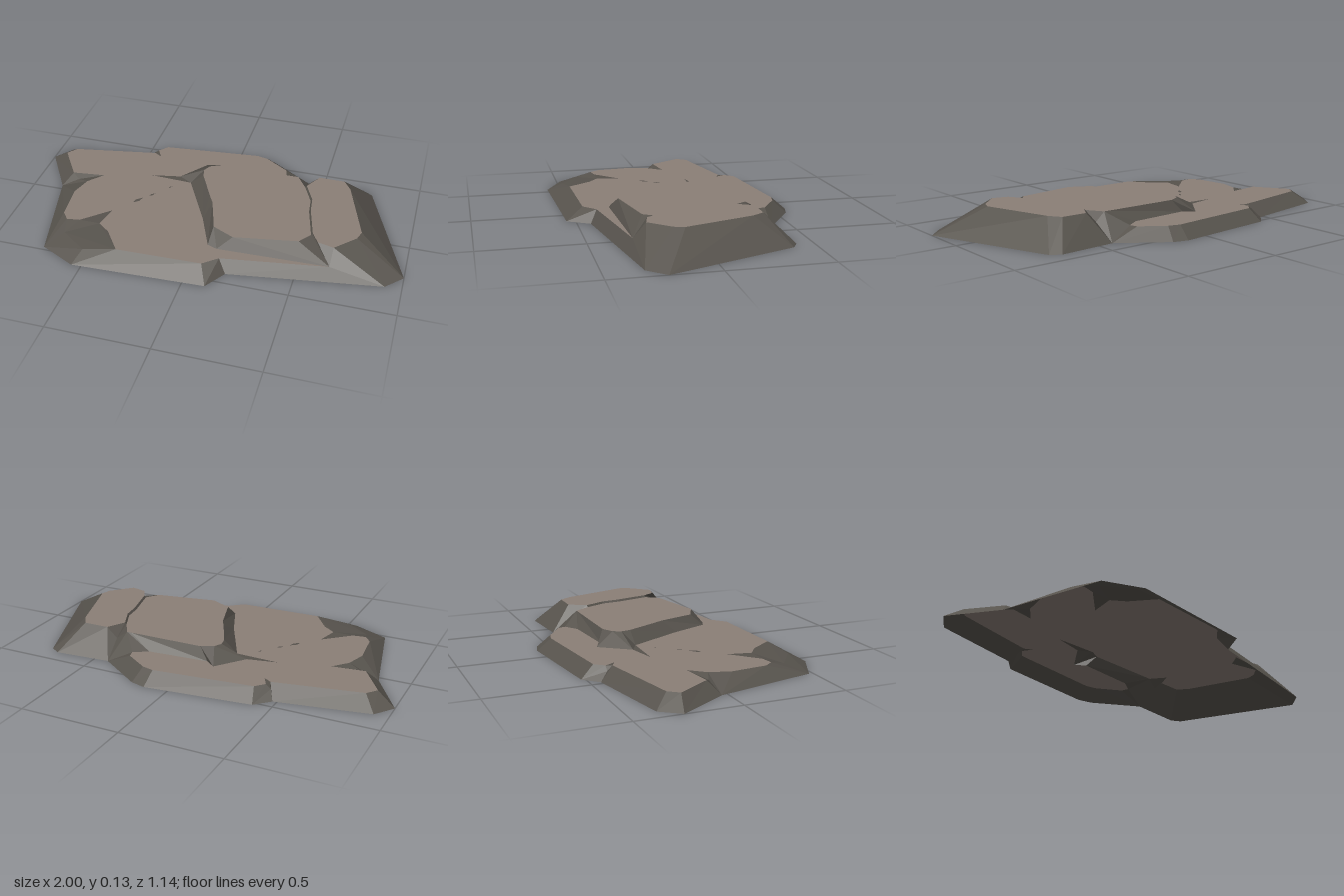
import * as THREE from 'three';

const LOW = 0.06, MID = 0.12, HIGH = 0.13;
const at = (y, pts) => pts.map(([x, z]) => [x, y, z]);

// Collect upward-facing triangles into a flat-faced geometry
function toGeometry(tris) {
  const pos = [];
  for (const [a, b, c] of tris) {
    const up = (b[2] - a[2]) * (c[0] - a[0]) - (b[0] - a[0]) * (c[2] - a[2]);
    pos.push(...a, ...(up >= 0 ? [...b, ...c] : [...c, ...b]));
  }
  const g = new THREE.BufferGeometry();
  g.setAttribute('position', new THREE.Float32BufferAttribute(pos, 3));
  g.computeVertexNormals();
  return g;
}

// Fill a polygon seen from above
function fill(pts) {
  const flat = pts.map(p => new THREE.Vector2(p[0], -p[2]));
  return THREE.ShapeUtils.triangulateShape(flat, []).map(f => f.map(i => pts[i]));
}

// Join rows of [foot, edge points...] into a sloping wall
function wall(rows, closed) {
  const tris = [];
  rows.forEach(([foot, ...edge], i) => {
    for (let k = 0; k + 1 < edge.length; k++) tris.push([foot, edge[k], edge[k + 1]]);
    if (i === rows.length - 1 && !closed) return;
    const [foot2, first] = rows[(i + 1) % rows.length];
    const last = edge[edge.length - 1];
    tris.push([foot, last, foot2], [last, first, foot2]);
  });
  return tris.filter(([a, b, c]) => a !== b && b !== c && a !== c);
}

export function createModel() {
  const group = new THREE.Group();
  const top = new THREE.MeshStandardMaterial({ color: 0x8b7f77, side: THREE.DoubleSide });
  top.name = 'worn stone';
  const side = new THREE.MeshStandardMaterial({ color: 0x57534d, side: THREE.DoubleSide });
  side.name = 'dark stone';
  for (const m of [top, side]) m.flatShading = true;
  const add = (name, tris, material) => {
    const mesh = new THREE.Mesh(toGeometry(tris), material);
    mesh.name = name;
    group.add(mesh);
  };
  const g = (x, z) => [x, 0, z], l = (x, z) => [x, LOW, z];
  const m = (x, z) => [x, MID, z], h = (x, z) => [x, HIGH, z];

  // Dips where the edges are broken
  const dipBack = [-0.455, 0.04, -0.41], dipLeft = [-0.76, 0.045, -0.05];
  const dipSeam = [0.435, 0.08, -0.29];
  const dipFront = [[-0.52, 0.04, 0.49], [-0.655, 0.04, 0.39]];

  // Outer wall, going round from the far left corner
  const rim = [
    [g(-1, -0.275), l(-0.91, -0.25)],
    [g(-0.93, -0.37), l(-0.87, -0.30)],
    [g(-0.48, -0.45), l(-0.44, -0.38), dipBack],
    [g(-0.41, -0.52), l(-0.43, -0.41), l(-0.39, -0.455)],
    [g(0.12, -0.575), l(0.11, -0.505)],
    [g(0.195, -0.555), l(0.17, -0.49)],
    [g(0.425, -0.40), l(0.29, -0.41), l(0.30, -0.37), m(0.38, -0.28), dipSeam, h(0.49, -0.29)],
    [g(0.71, -0.42), h(0.62, -0.29)],
    [g(0.76, -0.39), h(0.66, -0.23)],
    [g(1, 0.235), h(0.77, 0.11), h(0.755, 0.16)],
    [g(0.92, 0.32), h(0.66, 0.26), l(0.655, 0.32)],
    [g(0.18, 0.435), l(0.14, 0.40)],
    [g(0.11, 0.545), l(0.07, 0.46)],
    [g(-0.55, 0.57), l(-0.355, 0.47), dipFront[0]],
    [g(-0.73, 0.48), dipFront[1], l(-0.675, 0.31), l(-0.71, 0.265)],
    [g(-0.85, -0.03), l(-0.73, 0.08), l(-0.70, -0.025), dipLeft, l(-0.80, -0.08)],
  ];
  add('outerWall', wall(rim, true), side);

  // Low slab top, bordering the raised slabs
  add('lowSlabTop', fill(at(LOW, [
    [-0.91, -0.25], [-0.87, -0.30], [-0.44, -0.38], [-0.40, -0.355], [-0.43, -0.41],
    [-0.39, -0.455], [0.11, -0.505], [0.17, -0.49], [0.29, -0.41], [0.30, -0.37],
    [0.23, -0.325], [-0.08, -0.305], [-0.13, -0.345], [-0.24, -0.20], [-0.39, -0.17],
    [-0.17, -0.16], [-0.02, 0.125], [0.06, 0.315], [0.11, 0.335], [0.655, 0.32],
    [0.14, 0.40], [0.07, 0.46], [-0.355, 0.47], [-0.44, 0.35], [-0.505, 0.30],
    [-0.48, 0.18], [-0.61, 0.30], [-0.675, 0.31], [-0.71, 0.265], [-0.73, 0.08],
    [-0.70, -0.025], [-0.635, -0.10], [-0.80, -0.08],
  ])), top);

  // Wall between the low slab and the middle slab
  const seam = [[0.44, -0.20], [0.49, -0.09], [0.50, 0], [0.545, 0.18]];
  const seamLow = seam.map(([x, z]) => m(x - 0.008, z));
  const seamHigh = at(HIGH, seam);
  add('middleSlabWall', wall([
    [l(0.30, -0.37), m(0.38, -0.28)],
    [l(0.23, -0.325), m(0.36, -0.28)],
    [l(-0.08, -0.305), m(-0.03, -0.28)],
    [l(-0.13, -0.345), m(-0.09, -0.25)],
    [l(-0.24, -0.20), m(-0.11, -0.21)],
    [l(-0.17, -0.16), m(-0.10, -0.16)],
    [l(-0.02, 0.125), m(-0.02, 0), m(0.01, 0.055)],
    [l(0.06, 0.315), m(0.055, 0.195), m(0.07, 0.245)],
    [l(0.11, 0.335), m(0.18, 0.30)],
    [l(0.655, 0.32), m(0.49, 0.245), seamLow[3], seamHigh[3], h(0.58, 0.24), h(0.66, 0.26)],
  ], false), side);

  // Raised tops
  add('middleSlabTop', fill([
    ...at(MID, [[0.38, -0.28], [0.36, -0.28], [-0.03, -0.28], [-0.09, -0.25], [-0.11, -0.21],
      [-0.10, -0.16], [-0.02, 0], [0.01, 0.055], [0.055, 0.195], [0.07, 0.245],
      [0.18, 0.30], [0.49, 0.245]]),
    ...seamLow.slice().reverse(),
  ]), top);
  add('rightSlabTop', fill([
    ...at(HIGH, [[0.49, -0.29], [0.62, -0.29], [0.66, -0.23], [0.77, 0.11], [0.755, 0.16],
      [0.66, 0.26], [0.58, 0.24]]),
    ...seamHigh.slice().reverse(),
  ]), top);

  // Narrow step between the two raised tops, with its notch at the back
  add('slabSeam', [
    ...wall(seamLow.map((p, i) => [p, seamHigh[i]]), false),
    [dipSeam, m(0.38, -0.28), seamLow[0]],
    [dipSeam, seamLow[0], seamHigh[0]],
    [dipSeam, seamHigh[0], h(0.49, -0.29)],
  ], side);

  // Broken edges of the low slab
  add('backChip', fill([l(-0.44, -0.38), l(-0.40, -0.355), l(-0.43, -0.41), dipBack]), side);
  add('leftChip', fill([l(-0.80, -0.08), l(-0.635, -0.10), l(-0.70, -0.025), dipLeft]), side);
  add('frontChip', fill([
    dipFront[0], dipFront[1],
    ...at(LOW, [[-0.675, 0.31], [-0.61, 0.30], [-0.48, 0.18], [-0.505, 0.30], [-0.44, 0.35], [-0.355, 0.47]]),
  ]), side);
  add('middleChip', fill(at(LOW, [[-0.24, -0.20], [-0.39, -0.17], [-0.17, -0.16]])), side);

  // Small pits along the crack
  for (const [x, z, r] of [[-0.385, 0.065, 0.028], [-0.33, 0, 0.017], [-0.26, -0.09, 0.011]]) {
    add('pit', fill(at(LOW + 0.002, [
      [x - r * 0.6, z + r * 0.9], [x - r * 0.5, z], [x + r * 0.7, z - r], [x + r * 0.3, z + r * 0.2],
    ])), side);
  }
  return group;
}
